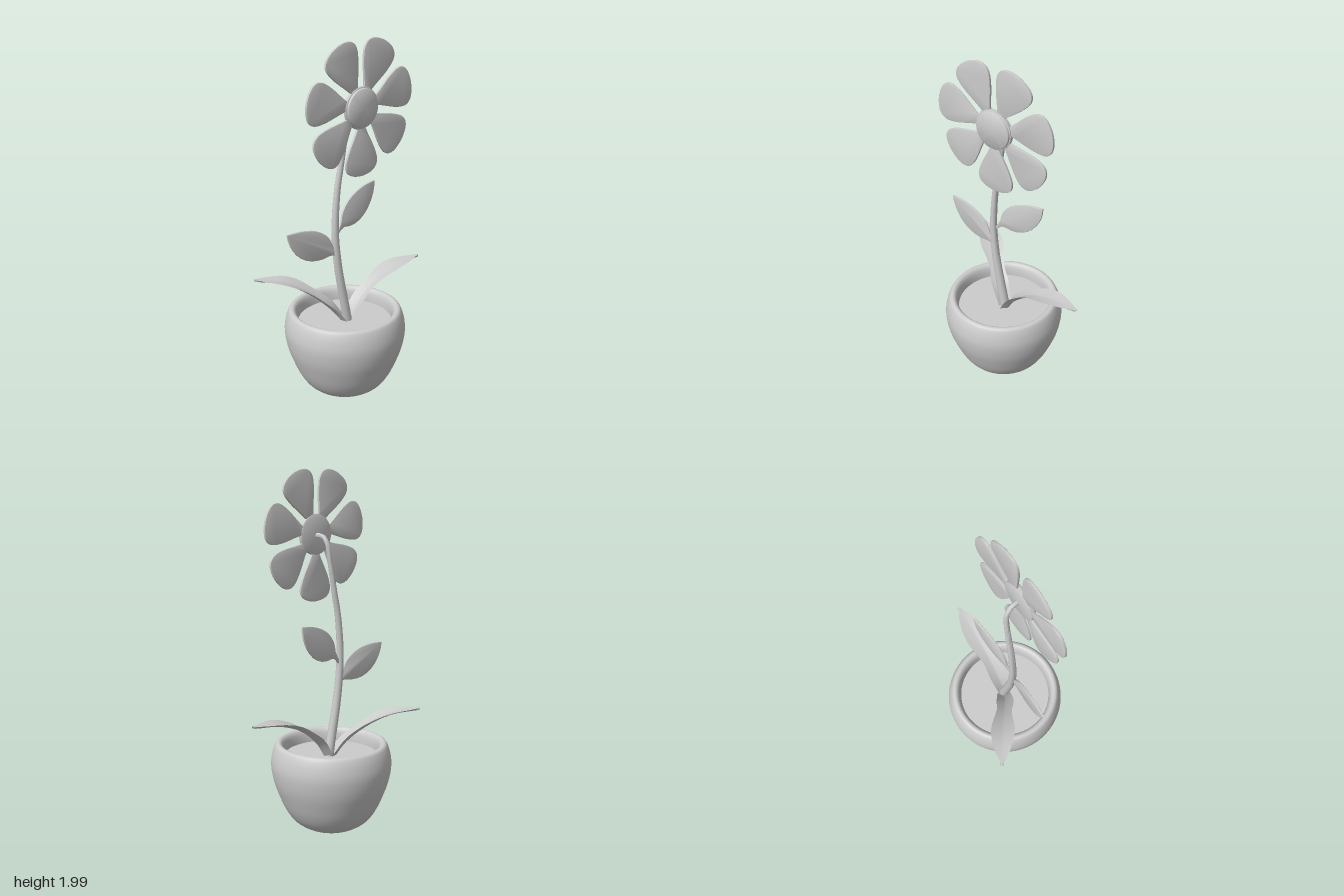
import * as THREE from 'three';
import { mergeVertices, toCreasedNormals } from 'three/addons/utils/BufferGeometryUtils.js';

const material = new THREE.MeshStandardMaterial({ color: 0xcccccc, side: THREE.DoubleSide });
const POT_X = -0.067;
const V2 = (x, y) => new THREE.Vector2(x, y);
const curve3 = (pts) => new THREE.CatmullRomCurve3(pts.map((p) => new THREE.Vector3(...p)));

function add(group, name, geometry, x = 0, y = 0, z = 0) {
  const mesh = new THREE.Mesh(geometry, material);
  mesh.name = name;
  mesh.position.set(x, y, z);
  group.add(mesh);
  return mesh;
}

// Sweeps a changing cross-section [side, normal] along a curve
function loft(curve, steps, ref, ringAt) {
  const positions = [], index = [];
  let count = 0;
  for (let i = 0; i <= steps; i++) {
    const t = i / steps;
    const p = curve.getPointAt(t), tangent = curve.getTangentAt(t);
    const side = tangent.clone().cross(ref).normalize();
    const normal = side.clone().cross(tangent);
    const ring = ringAt(t);
    count = ring.length;
    for (const [s, n] of ring) {
      positions.push(...p.clone().addScaledVector(side, s).addScaledVector(normal, n).toArray());
    }
    if (i === steps) break;
    for (let j = 0; j < count; j++) {
      const a = i * count + j, b = i * count + (j + 1) % count;
      index.push(a, a + count, b, b, a + count, b + count);
    }
  }
  const geometry = new THREE.BufferGeometry();
  geometry.setAttribute('position', new THREE.Float32BufferAttribute(positions, 3));
  geometry.setIndex(index);
  return toCreasedNormals(geometry, 0.8);
}

// Thin plate with a small bevel, centred on z = 0
function plate(shape, thickness) {
  const bevel = thickness * 0.25;
  const geometry = new THREE.ExtrudeGeometry(shape, {
    depth: thickness - 2 * bevel, bevelThickness: bevel, bevelSize: bevel,
    bevelOffset: -bevel, bevelSegments: 2, curveSegments: 10,
  });
  geometry.translate(0, 0, -thickness / 2 + bevel);
  return toCreasedNormals(geometry, 0.6);
}

// Pot: smooth rounded bowl with a thick rim
function buildPot(group) {
  const outside = new THREE.SplineCurve([
    V2(0.08, 0.008), V2(0.15, 0.03), V2(0.215, 0.075), V2(0.26, 0.14), V2(0.295, 0.22),
    V2(0.322, 0.3), V2(0.335, 0.385), V2(0.328, 0.45), V2(0.312, 0.497), V2(0.297, 0.511),
    V2(0.28, 0.508), V2(0.267, 0.488), V2(0.26, 0.45), V2(0.258, 0.4),
  ]).getPoints(60);
  add(group, 'pot', new THREE.LatheGeometry([V2(0, 0), ...outside], 64), POT_X);
  const soil = new THREE.CircleGeometry(0.262, 48);
  soil.rotateX(-Math.PI / 2);
  add(group, 'soil', soil, POT_X, 0.435);
}

// Stem: tapers upward and hooks forward into the back of the flower
function buildStem(group) {
  const path = curve3([
    [-0.05, 0.42, 0.005], [-0.072, 0.53, 0.005], [-0.118, 0.78, 0.003], [-0.133, 0.98, 0],
    [-0.117, 1.2, 0], [-0.09, 1.35, 0.003], [-0.06, 1.52, 0.007], [-0.05, 1.6, 0.014],
    [-0.044, 1.637, 0.035], [-0.04, 1.645, 0.06], [-0.04, 1.645, 0.1],
  ]);
  const sides = 10;
  add(group, 'stem', loft(path, 60, new THREE.Vector3(1, 0, 0), (t) => {
    const r = THREE.MathUtils.lerp(0.027, 0.013, Math.min(1, t * 1.1));
    return Array.from({ length: sides }, (_, j) => {
      const a = (j / sides) * Math.PI * 2;
      return [Math.cos(a) * r, Math.sin(a) * r];
    });
  }));
}

// Flower: seven flat petals around a round centre
function buildFlower(group) {
  const flower = new THREE.Group();
  flower.name = 'flower';
  flower.position.set(-0.04, 1.65, 0.097);
  group.add(flower);

  const petal = new THREE.Shape();
  petal.moveTo(0.1, -0.025);
  petal.bezierCurveTo(0.16, -0.05, 0.2, -0.085, 0.27, -0.105);
  petal.bezierCurveTo(0.33, -0.12, 0.358, -0.075, 0.361, 0);
  petal.bezierCurveTo(0.358, 0.075, 0.33, 0.12, 0.27, 0.105);
  petal.bezierCurveTo(0.2, 0.085, 0.16, 0.05, 0.1, 0.025);
  petal.closePath();
  const petalGeometry = plate(petal, 0.014);
  for (let i = 0; i < 7; i++) {
    const angle = THREE.MathUtils.degToRad(65 - (i * 360) / 7);
    add(flower, 'petal', petalGeometry).rotation.z = angle;
  }

  const profile = [
    [0, -0.013], [0.095, -0.013], [0.108, -0.008], [0.111, 0], [0.108, 0.01],
    [0.102, 0.012], [0.1, 0.021], [0.094, 0.025], [0, 0.025],
  ].map((p) => V2(...p));
  const disc = new THREE.LatheGeometry(profile, 40);
  disc.deleteAttribute('uv');
  disc.deleteAttribute('normal');
  disc.rotateX(Math.PI / 2);
  add(flower, 'flowerCentre', toCreasedNormals(mergeVertices(disc), 0.7));
}

// Leaves on the stem: flat blades with a short stalk
function buildStemLeaves(group) {
  const leftLeaf = new THREE.Shape();
  leftLeaf.moveTo(0, 0);
  leftLeaf.quadraticCurveTo(0.025, 0.04, 0.032, 0.055);
  leftLeaf.bezierCurveTo(0.04, 0.16, 0.15, 0.22, 0.295, 0.225);
  leftLeaf.bezierCurveTo(0.3, 0.12, 0.2, -0.02, 0.06, 0.018);
  leftLeaf.quadraticCurveTo(0.03, 0.02, 0, -0.025);
  leftLeaf.closePath();
  add(group, 'stemLeafLeft', plate(leftLeaf, 0.012), -0.12, 0.965, -0.003).rotation.y = 0.09;

  const rightLeaf = new THREE.Shape();
  rightLeaf.moveTo(0, 0);
  rightLeaf.quadraticCurveTo(-0.02, 0.02, -0.03, 0.045);
  rightLeaf.bezierCurveTo(-0.06, 0.14, -0.17, 0.18, -0.315, 0.168);
  rightLeaf.bezierCurveTo(-0.3, 0.05, -0.2, -0.05, -0.05, -0.012);
  rightLeaf.quadraticCurveTo(-0.02, -0.01, 0, -0.035);
  rightLeaf.closePath();
  add(group, 'stemLeafRight', plate(rightLeaf, 0.012), -0.125, 0.86, 0.005).rotation.y = -0.09;
}

// Leaves from the soil: arching blades, creased along the middle
function buildGroundLeaves(group) {
  const widths = new THREE.SplineCurve([
    V2(0, 0.038), V2(0.2, 0.044), V2(0.35, 0.05), V2(0.46, 0.043), V2(0.56, 0.053),
    V2(0.7, 0.066), V2(0.84, 0.06), V2(0.94, 0.038), V2(1, 0.006),
  ]);
  const blade = (name, points) => {
    const geometry = loft(curve3(points), 32, new THREE.Vector3(0, 1, 0), (t) => {
      const w = widths.getPoint(t).y;
      const lift = w * (0.45 - 0.35 * t);
      return [[w, lift], [0.006, 0.002], [-0.006, 0.002], [-w, lift], [-0.008, -0.009], [0.008, -0.009]];
    });
    add(group, name, geometry);
  };
  blade('groundLeafLeft', [
    [-0.045, 0.42, 0.01], [0.015, 0.515, 0.013], [0.127, 0.61, 0.02],
    [0.275, 0.67, 0.03], [0.455, 0.694, 0.042],
  ]);
  blade('groundLeafRight', [
    [-0.065, 0.42, -0.005], [-0.13, 0.515, -0.045], [-0.225, 0.61, -0.125],
    [-0.325, 0.667, -0.205], [-0.455, 0.692, -0.305],
  ]);
}

export function createModel() {
  const model = new THREE.Group();
  model.name = 'pottedFlower';
  buildPot(model);
  buildStem(model);
  buildFlower(model);
  buildStemLeaves(model);
  buildGroundLeaves(model);
  return model;
}
